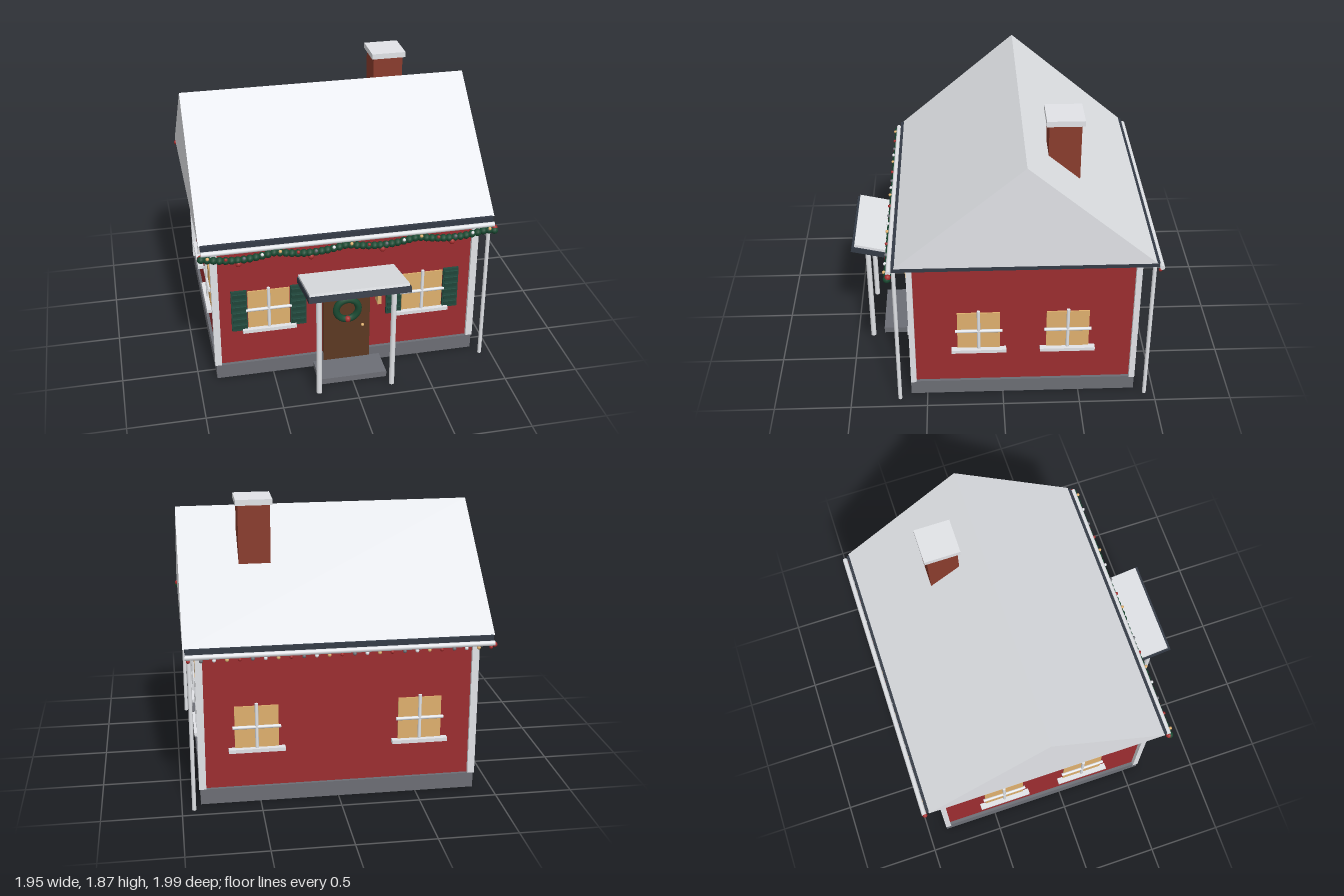
import * as THREE from 'three';

const mat = (name, color) => {
  const m = new THREE.MeshStandardMaterial({ color });
  m.name = name;
  return m;
};

export function createModel() {
  const white = mat('snow white', 0xe4e6ea);
  const red = mat('wall red', 0x9c2d30);
  const stone = mat('stone grey', 0x6c6e75);
  const slate = mat('dark slate', 0x343b46);
  const wood = mat('door brown', 0x5c3822);
  const brick = mat('brick', 0x8a3c2d);
  const shutterGreen = mat('shutter green', 0x234b3f);
  const pine = mat('pine green', 0x1a4a32);
  const amber = mat('amber', 0xdfb06e);
  const berry = mat('berry red', 0xa52c2c);

  const house = new THREE.Group();
  house.name = 'cottage';

  const add = (parent, name, geo, material, x, y, z) => {
    const m = new THREE.Mesh(geo, material);
    m.name = name;
    m.position.set(x, y, z);
    parent.add(m);
    return m;
  };
  // Box given by its min and max on each axis
  const box = (name, material, [x0, x1], [y0, y1], [z0, z1], parent = house) =>
    add(parent, name, new THREE.BoxGeometry(x1 - x0, y1 - y0, z1 - z0), material,
      (x0 + x1) / 2, (y0 + y1) / 2, (z0 + z1) / 2);
  const ball = (name, material, r, x, y, z, parent = house) =>
    add(parent, name, new THREE.SphereGeometry(r, 12, 8), material, x, y, z);
  const post = (name, r, x, z, y0, y1, parent = house) =>
    add(parent, name, new THREE.CylinderGeometry(r, r, y1 - y0, 12), white, x, (y0 + y1) / 2, z);

  // Walls, plinth and corner boards
  const FRONT = 0.585, BACK = -0.85, SIDE = 0.86;
  box('walls', red, [-SIDE, SIDE], [0, 1.05], [BACK, FRONT]);
  box('plinth', stone, [-0.88, 0.88], [0.004, 0.105], [-0.87, 0.607]);
  for (const s of [-1, 1])
    for (const z of [0.588, -0.853])
      add(house, 'cornerBoard', new THREE.BoxGeometry(0.045, 0.93, 0.037), white, s * 0.866, 0.57, z);

  // Gable roof on a dark eaves slab
  const gable = new THREE.Shape([[0.675, 1.07], [-0.948, 1.07], [-0.135, 1.762]]
    .map(([z, y]) => new THREE.Vector2(z, y)));
  const roof = new THREE.ExtrudeGeometry(gable, { depth: 1.92, bevelEnabled: false });
  roof.rotateY(-Math.PI / 2);
  add(house, 'roof', roof, white, 0.96, 0, 0);
  box('eaves', slate, [-0.948, 0.948], [1.035, 1.073], [-0.962, 0.692]);

  // Gutters and downpipes
  for (const z of [0.71, -0.98]) {
    const g = add(house, 'gutter', new THREE.CylinderGeometry(0.016, 0.016, 1.9, 12), white, 0, 1.03, z);
    g.rotation.z = Math.PI / 2;
  }
  for (const z of [0.68, -0.937]) post('downpipe', 0.013, 0.925, z, 0.004, 1.03);

  // Chimney
  box('chimney', brick, [0.38, 0.582], [1.25, 1.84], [-0.49, -0.29]);
  box('chimneyCap', white, [0.365, 0.598], [1.835, 1.872], [-0.508, -0.273]);

  // Windows, built facing +z with the wall at z = 0
  const addWindow = (x, z, turn, shutters) => {
    const w = new THREE.Group();
    w.name = 'window';
    w.position.set(x, 0.51, z);
    w.rotation.y = turn;
    house.add(w);
    box('pane', amber, [-0.138, 0.138], [-0.138, 0.138], [-0.01, 0.009], w);
    post('mullion', 0.011, 0, 0.014, -0.15, 0.158, w);
    post('crossbar', 0.011, 0, 0.014, -0.152, 0.152, w).rotation.z = Math.PI / 2;
    box('sill', white, [-0.178, 0.178], [-0.162, -0.138], [-0.01, 0.04], w);
    if (shutters) for (const s of [-1, 1]) {
      box('shutter', shutterGreen, [s * 0.195 - 0.052, s * 0.195 + 0.052], [-0.15, 0.15], [-0.01, 0.018], w);
      for (let i = 0; i < 6; i++) {
        const slat = add(w, 'slat', new THREE.BoxGeometry(0.088, 0.03, 0.008), shutterGreen,
          s * 0.195, -0.118 + i * 0.047, 0.02);
        slat.rotation.x = 0.2;
      }
    }
  };
  for (const s of [-1, 1]) {
    addWindow(s * 0.518, FRONT, 0, true);
    addWindow(s * 0.518, BACK, Math.PI, false);
    for (const z of [0.157, -0.418]) addWindow(s * SIDE, z, s * Math.PI / 2, false);
  }

  // Door with lintel, knob, lamp and wreath
  box('door', wood, [-0.158, 0.158], [0.045, 0.61], [0.57, 0.61]);
  box('lintel', white, [-0.192, 0.192], [0.61, 0.65], [0.57, 0.622]);
  ball('doorKnob', amber, 0.011, 0.107, 0.307, 0.621);
  box('lamp', amber, [0.2, 0.226], [0.475, 0.54], [0.58, 0.652]);
  add(house, 'wreath', new THREE.TorusGeometry(0.075, 0.023, 10, 32), pine, 0, 0.45, 0.63);
  ball('wreathBerry', berry, 0.022, 0, 0.38, 0.64);

  // Porch: step, posts and tilted canopy
  box('step', stone, [-0.228, 0.228], [0.004, 0.045], [0.57, 0.815]);
  for (const s of [-1, 1]) post('porchPost', 0.018, s * 0.244, 0.892, 0.004, 0.722);
  const canopy = new THREE.Group();
  canopy.name = 'canopy';
  canopy.position.set(0, 0.742, 0.785);
  canopy.rotation.x = -0.23;
  house.add(canopy);
  box('canopySlab', slate, [-0.328, 0.328], [-0.019, 0.019], [-0.215, 0.215], canopy);
  box('canopySnow', white, [-0.32, 0.32], [0.019, 0.037], [-0.215, 0.2], canopy);

  // Swagged garland along the front eaves
  const garland = new THREE.Group();
  garland.name = 'garland';
  house.add(garland);
  const START = -0.95, SWAG = 0.4625;
  const sag = x => 1.0 - 0.03 * Math.abs(Math.sin(Math.PI * (x - START) / SWAG));
  const lights = [berry, amber, white, stone];
  for (let i = 0; i <= 50; i++) {
    const x = START + i * 0.038;
    const tuft = ball('tuft', pine, 0.025, x, sag(x), 0.718, garland);
    tuft.rotation.z = Math.PI / 2;
    if (i % 3 === 1) ball('light', lights[i % 4], 0.011, x, sag(x) + 0.018, 0.737, garland);
  }
  for (let i = 0; i < 4; i++) ball('bauble', berry, 0.02, -0.72 + i * 0.461, 0.948, 0.728, garland);
  for (const s of [-1, 1]) ball('endBauble', berry, 0.02, s * 0.953, 1.005, 0.712, garland);

  // Light string under the back gutter
  for (let i = 0; i <= 24; i++)
    ball('backLight', lights[i % 4], 0.012, -0.93 + i * 0.0775, 1.003, -0.972);
  ball('backEndLight', berry, 0.016, -0.952, 1.02, -0.976);

  return house;
}
